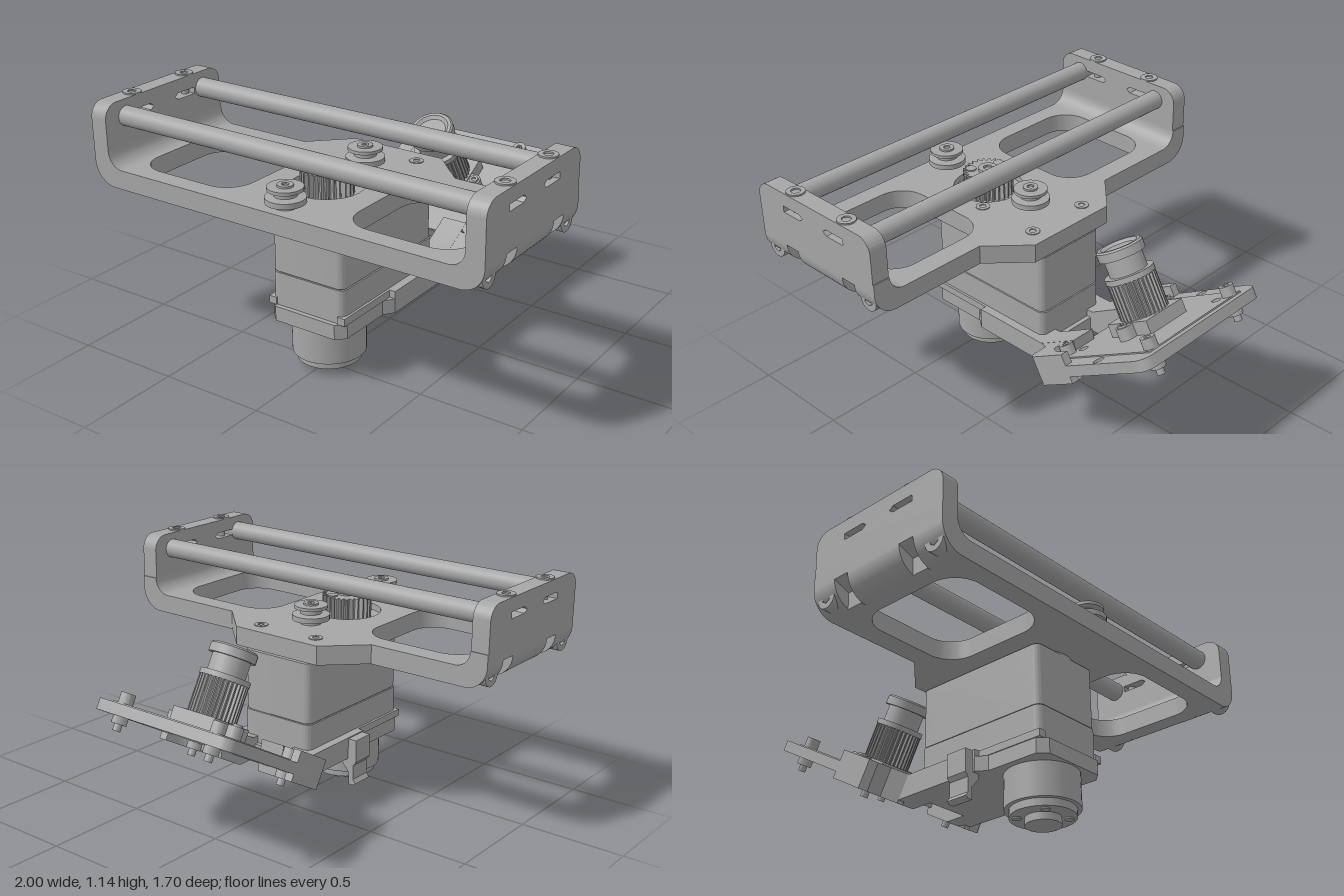
import * as THREE from 'three';
import { toCreasedNormals } from 'three/addons/utils/BufferGeometryUtils.js';

const grey = new THREE.MeshStandardMaterial({ color: 0xa6a6a6 });
grey.name = 'machined grey';

function add(parent, name, geo, x = 0, y = 0, z = 0) {
  const m = new THREE.Mesh(geo, grey);
  m.name = name;
  m.position.set(x, y, z);
  parent.add(m);
  return m;
}
const poly = (pts) => new THREE.Shape(pts.map(([a, b]) => new THREE.Vector2(a, b)));
const circle = (x, y, r) => new THREE.Path().absarc(x, y, r, 0, Math.PI * 2, true);

// Rounded rectangle; r is one radius or [bottom, top]
function rounded(x0, y0, x1, y1, r, Type = THREE.Shape) {
  const [b, t] = Array.isArray(r) ? r : [r, r];
  const s = new Type();
  s.moveTo(x0 + b, y0).lineTo(x1 - b, y0);
  if (b) s.absarc(x1 - b, y0 + b, b, -Math.PI / 2, 0);
  s.lineTo(x1, y1 - t);
  if (t) s.absarc(x1 - t, y1 - t, t, 0, Math.PI / 2);
  s.lineTo(x0 + t, y1);
  if (t) s.absarc(x0 + t, y1 - t, t, Math.PI / 2, Math.PI);
  s.lineTo(x0, y0 + b);
  if (b) s.absarc(x0 + b, y0 + b, b, Math.PI, Math.PI * 1.5);
  return s;
}
const extrude = (shape, depth) => toCreasedNormals(
  new THREE.ExtrudeGeometry(shape, { depth, bevelEnabled: false, curveSegments: 12 }), 0.6);
// Plan drawn as (x, -z), raised from y0 to y1
const plan = (shape, y0, y1) => extrude(shape, y1 - y0).rotateX(-Math.PI / 2).translate(0, y0, 0);
// Side profile drawn as (-z, y), running from x0 to x1
const side = (shape, x0, x1) => extrude(shape, x1 - x0).rotateY(Math.PI / 2).translate(x0, 0, 0);
const disc = (r, y0, y1, seg = 32, r2 = r) =>
  new THREE.CylinderGeometry(r, r2, y1 - y0, seg).translate(0, (y0 + y1) / 2, 0);
const box = (x0, x1, y0, y1, z0, z1) => new THREE.BoxGeometry(x1 - x0, y1 - y0, z1 - z0)
  .translate((x0 + x1) / 2, (y0 + y1) / 2, (z0 + z1) / 2);

function toothed(r, depth, n) {
  const pts = [];
  for (let i = 0; i < n * 4; i++) {
    const a = (i / (n * 4)) * Math.PI * 2, q = i % 4 < 2 ? r : r - depth;
    pts.push([Math.cos(a) * q, Math.sin(a) * q]);
  }
  return poly(pts);
}
// Socket screw: a ring head with a six-sided recess
function screw(parent, x, y, z, r, h, through = false) {
  const s = new THREE.Shape().absarc(0, 0, r, 0, Math.PI * 2);
  const n = through ? 20 : 6;
  s.holes.push(new THREE.Path(Array.from({ length: n }, (_, i) => new THREE.Vector2(
    Math.cos(-i * 2 * Math.PI / n) * r * 0.5, Math.sin(-i * 2 * Math.PI / n) * r * 0.5))));
  const g = new THREE.Group();
  g.name = 'screw';
  g.position.set(x, y, z);
  add(g, 'screwHead', plan(s, 0, h));
  add(g, 'screwSocket', disc(r * 0.7, 0, h * 0.3, 16));
  parent.add(g);
  return g;
}

function buildCage() {
  const g = new THREE.Group();
  g.name = 'cage';
  // Base plate with two windows and a gear well
  const base = poly([[-0.86, -0.85], [0.86, -0.85], [0.86, -0.1], [0.41, -0.1],
    [0.235, 0.07], [-0.235, 0.07], [-0.41, -0.1], [-0.86, -0.1]]);
  base.holes.push(rounded(0.28, -0.76, 0.83, -0.2, 0.13, THREE.Path),
    rounded(-0.83, -0.76, -0.28, -0.2, 0.13, THREE.Path), circle(0, -0.47, 0.165));
  add(g, 'basePlate', plan(base, 0.76, 0.85));
  add(g, 'gearWellFloor', disc(0.17, 0.762, 0.82), 0, 0, 0.47);

  for (const s of [-1, 1]) {
    // Curved corner, notched twice along its length
    const corner = (notched) => {
      const c = new THREE.Shape();
      c.moveTo(0.84, 0.76);
      if (notched) c.lineTo(0.92, 0.76).lineTo(0.92, 0.84).lineTo(1, 0.87);
      else c.lineTo(0.89, 0.76).absarc(0.89, 0.87, 0.11, -Math.PI / 2, 0);
      c.lineTo(1, 0.925).lineTo(0.915, 0.925).absarc(0.84, 0.925, 0.075, 0, -Math.PI / 2, true);
      return c;
    };
    [[0.1, 0.23], [0.23, 0.31, 1], [0.31, 0.61], [0.61, 0.69, 1], [0.69, 0.85]].forEach(([a, b, notch]) => {
      const geo = extrude(corner(notch), b - a);
      if (s > 0) add(g, 'cageCorner', geo, 0, 0, a);
      else add(g, 'cageCorner', geo.rotateY(Math.PI), 0, 0, b);
      if (s < 0 && !notch) return;
    });
    // Upright wall with clamp slots
    const wall = rounded(-0.85, 0.925, -0.105, 1.135, [0, 0.07]);
    for (const d of [-1, 1]) {
      const pts = [[0.2, 1.04], [0.09, 1.04], [0.07, 1.055], [0.09, 1.07], [0.2, 1.07]];
      wall.holes.push(new THREE.Path(pts.map(([a, b]) => new THREE.Vector2(-0.48 + d * a, b))));
    }
    add(g, 'cageWall', side(wall, s > 0 ? 0.915 : -1, s > 0 ? 1 : -0.915));
    for (const z of [0.3, 0.64]) {
      screw(g, s * 0.955, 1.13, z, 0.042, 0.012, s > 0);
      add(g, 'clampBolt', disc(0.018, 1.03, 1.08, 12), s * 0.955, 0, z);
    }
    for (const z of [0.165, 0.79]) screw(g, s * 0.9, 0.815, z, 0.05, 0.085).rotation.z = -s * Math.PI / 2;
  }
  for (const z of [0.225, 0.725])
    add(g, 'crossRod', new THREE.CylinderGeometry(0.046, 0.046, 2, 32).rotateZ(Math.PI / 2), 0, 1.057, z);
  return g;
}

function buildDrive() {
  const g = new THREE.Group();
  g.name = 'drive';
  // Gear, its lobes and centre screw
  add(g, 'gear', plan(toothed(0.118, 0.02, 26), 0.82, 0.93), 0, 0, 0.47);
  for (let i = 0; i < 3; i++) {
    const a = -1.2 + i * 2.094;
    add(g, 'gearLobe', disc(0.025, 0.93, 0.936, 16), Math.cos(a) * 0.08, 0, 0.47 + Math.sin(a) * 0.08);
  }
  screw(g, 0, 0.93, 0.47, 0.045, 0.015);
  // Flanged rollers
  for (const z of [0.19, 0.755]) {
    const prof = [[0, 0.85], [0.05, 0.85], [0.05, 0.87], [0.088, 0.87], [0.088, 0.895], [0.05, 0.9],
      [0.05, 0.92], [0.078, 0.925], [0.078, 0.94], [0, 0.94]];
    add(g, 'roller', toCreasedNormals(new THREE.LatheGeometry(
      prof.map(([a, b]) => new THREE.Vector2(a, b)), 32), 0.5), 0, 0, z);
    screw(g, 0, 0.937, z, 0.035, 0.012);
  }
  for (const [x, z] of [[-0.16, 0.02], [0.16, 0.02], [0.16, 0.34]]) screw(g, x, 0.846, z, 0.033, 0.008);

  // Motor housing in two sections
  add(g, 'motorUpper', plan(rounded(-0.19, -0.63, 0.19, 0.065, 0.035), 0.462, 0.75));
  add(g, 'motorLower', plan(rounded(-0.193, -0.633, 0.193, 0.068, 0.035), 0.29, 0.458));
  add(g, 'motorSeam', plan(rounded(-0.185, -0.625, 0.185, 0.06, 0.035), 0.45, 0.47));
  add(g, 'motorTop', disc(0.16, 0.74, 0.77), 0, 0, 0.47);
  // Output hub under the bracket
  add(g, 'hub', disc(0.167, 0.07, 0.24, 40), 0, 0, 0.477);
  add(g, 'hubStep', disc(0.147, 0.035, 0.075, 40), 0, 0, 0.477);
  add(g, 'hubTip', disc(0.08, 0, 0.04, 32), 0, 0, 0.477);
  for (let i = 0; i < 4; i++) {
    const a = Math.PI / 4 + i * Math.PI / 2;
    add(g, 'hubScrew', disc(0.02, 0.028, 0.04, 12), Math.cos(a) * 0.112, 0, 0.477 + Math.sin(a) * 0.112);
  }
  return g;
}

function buildBracket() {
  const g = new THREE.Group();
  g.name = 'lowerBracket';
  const shape = poly([[-0.16, -0.655], [0.16, -0.655], [0.2, -0.615], [0.2, -0.35], [0.235, -0.3],
    [0.235, 0.09], [-0.235, 0.09], [-0.235, -0.3], [-0.2, -0.35], [-0.2, -0.615]]);
  add(g, 'bracketFloor', plan(shape, 0.23, 0.3));
  const arm = poly([[-0.02, 0.23], [0.2, 0.23], [0.33, 0.305], [0.3, 0.45], [0.1, 0.335], [-0.02, 0.335]]);
  for (const s of [-1, 1]) {
    const [a, b] = s > 0 ? [0.11, 0.235] : [-0.235, -0.11];
    add(g, 'bracketArm', side(arm, a, b));
    add(g, 'bracketRail', box(s > 0 ? 0.185 : -0.235, s > 0 ? 0.235 : -0.185, 0.3, 0.335, -0.09, 0.3));
    add(g, 'bracketFrontRail', box(s > 0 ? 0.165 : -0.205, s > 0 ? 0.205 : -0.165, 0.3, 0.335, 0.3, 0.64));
  }
  // Hanging side hook
  add(g, 'hook', extrude(poly([[-0.28, 0.11], [-0.265, 0.1], [-0.24, 0.1], [-0.24, 0.16], [-0.195, 0.21],
    [-0.195, 0.3], [-0.23, 0.33], [-0.28, 0.33], [-0.28, 0.22], [-0.265, 0.2], [-0.265, 0.13]]), 0.11), 0, 0, 0.18);
  return g;
}

function buildTiltedMount() {
  const g = new THREE.Group();
  g.name = 'tiltedMount';
  g.position.set(0, 0.23, -0.2);
  g.rotation.x = Math.PI / 6;
  // Mounting plate with through holes
  const plate = rounded(-0.39, 0.14, 0.39, 0.77, [0, 0.06]);
  const board = rounded(-0.31, 0.145, 0.31, 0.735, 0.005);
  for (const s of [-1, 1]) {
    for (const u of [0.224, 0.663]) {
      plate.holes.push(circle(s * 0.22, u, 0.022));
      board.holes.push(circle(s * 0.22, u, 0.022));
    }
    plate.holes.push(rounded(s * 0.35 - 0.027, 0.436, s * 0.35 + 0.027, 0.474, 0.018, THREE.Path));
  }
  add(g, 'mountPlate', plan(plate, 0.034, 0.086));
  add(g, 'circuitBoard', plan(board, 0.08, 0.092));
  // Side cheeks joining the arms
  for (const s of [-1, 1]) {
    const pts = [[0.11, 0.1], [0.2, -0.03], [0.235, -0.03], [0.28, 0.045], [0.36, 0.045], [0.39, 0.075],
      [0.39, 0.277], [0.35, 0.277], [0.35, 0.2], [0.31, 0.14], [0.11, 0.14]];
    add(g, 'cheek', plan(poly(pts.map(([a, b]) => [s * a, b])), 0, 0.14));
    for (const u of [0.173, 0.704]) {
      screw(g, s * 0.265, 0.09, -u, 0.033, 0.05);
      add(g, 'plateBolt', disc(0.018, -0.03, 0.1, 16), s * 0.265, 0, -u);
      add(g, 'plateNut', disc(0.035, 0, 0.036, 6), s * 0.265, 0, -u);
    }
  }
  // Lens assembly standing on the plate
  const lens = new THREE.Group();
  lens.name = 'lens';
  lens.position.z = -0.443;
  g.add(lens);
  add(lens, 'lensBase', box(-0.12, 0.12, 0.085, 0.155, -0.125, 0.125));
  add(lens, 'lensWings', plan(rounded(-0.18, -0.035, 0.18, 0.035, 0.034), 0.085, 0.15));
  for (const x of [-0.15, 0.15]) screw(lens, x, 0.148, 0, 0.022, 0.012);
  add(lens, 'lensKnurl', plan(toothed(0.113, 0.01, 32), 0.15, 0.33));
  add(lens, 'lensRing', disc(0.115, 0.325, 0.35, 40));
  add(lens, 'lensNeck', disc(0.088, 0.345, 0.44, 40));
  const prof = [[0, 0.47], [0.07, 0.465], [0.085, 0.478], [0.1, 0.478], [0.108, 0.47], [0.108, 0.43], [0, 0.43]];
  add(lens, 'lensCap', toCreasedNormals(new THREE.LatheGeometry(
    prof.reverse().map(([a, b]) => new THREE.Vector2(a, b)), 40), 0.5));
  return g;
}

export function createModel() {
  const model = new THREE.Group();
  model.name = 'cameraGimbal';
  model.add(buildCage(), buildDrive(), buildBracket(), buildTiltedMount());
  return model;
}
